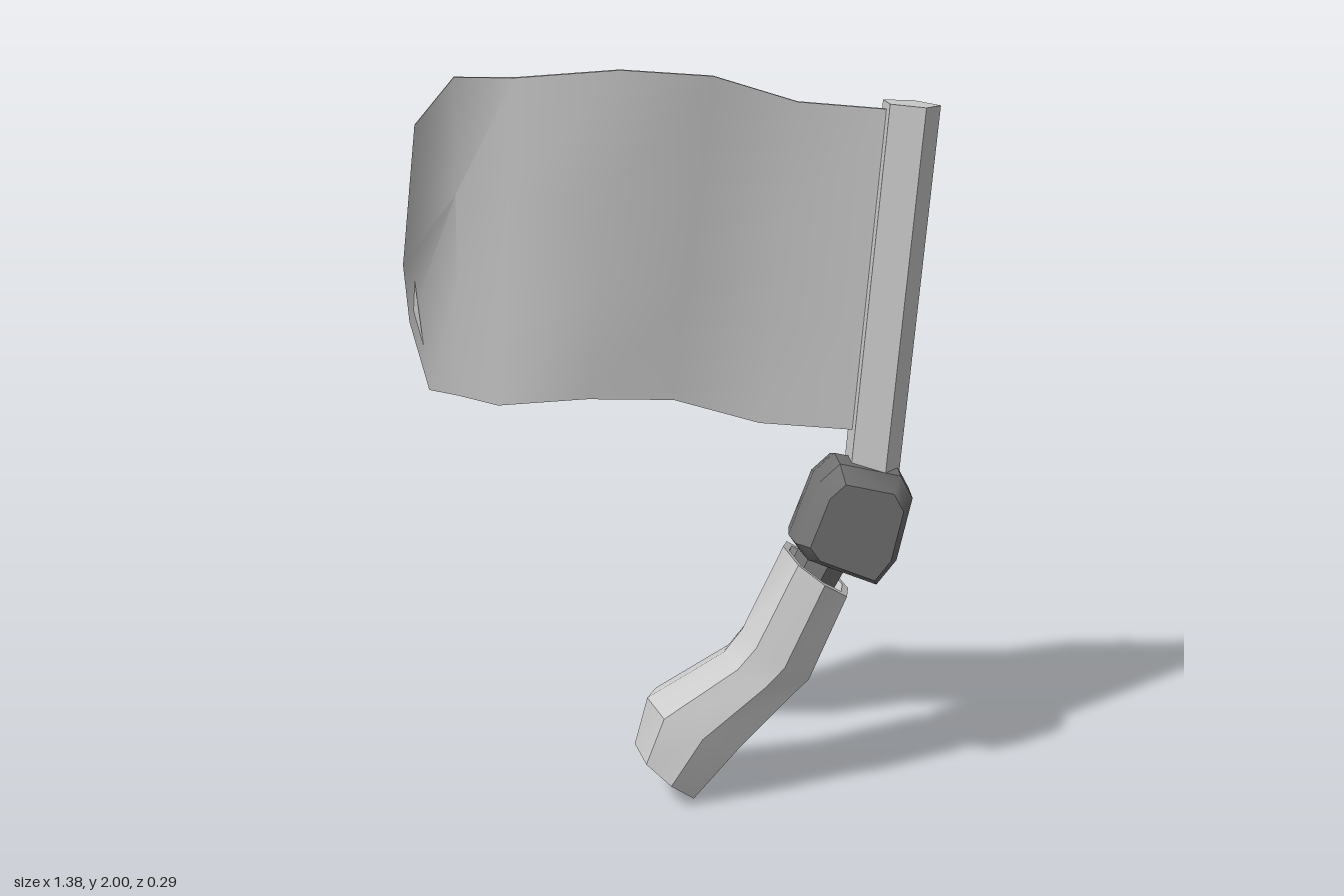
import * as THREE from 'three';
import { toCreasedNormals } from 'three/addons/utils/BufferGeometryUtils.js';

const light = new THREE.MeshStandardMaterial({ color: 0xcccccc });
const dark = new THREE.MeshStandardMaterial({ color: 0x727272 });
const lerp = THREE.MathUtils.lerp;

// Closed solid through rings of equal point count, capped at both ends
function loft(rings, crease) {
  const n = rings[0].length, pts = rings.flat(), idx = [];
  for (let r = 0; r < rings.length - 1; r++) {
    for (let i = 0; i < n; i++) {
      const a = r * n + i, b = r * n + (i + 1) % n;
      idx.push(a, b, b + n, a, b + n, a + n);
    }
  }
  [0, rings.length - 1].forEach((r, end) => {
    const c = pts.length;
    pts.push([0, 1, 2].map(k => rings[r].reduce((s, p) => s + p[k], 0) / n));
    for (let i = 0; i < n; i++) {
      const a = r * n + i, b = r * n + (i + 1) % n;
      end ? idx.push(c, a, b) : idx.push(c, b, a);
    }
  });
  // Turn the faces outward when the rings run the other way
  const v = pts.map(p => new THREE.Vector3(...p));
  let volume = 0;
  for (let i = 0; i < idx.length; i += 3) {
    volume += v[idx[i]].dot(v[idx[i + 1]].clone().cross(v[idx[i + 2]]));
  }
  if (volume < 0) idx.reverse();
  const g = new THREE.BufferGeometry();
  g.setAttribute('position', new THREE.Float32BufferAttribute(pts.flat(), 3));
  g.setIndex(idx);
  return toCreasedNormals(g, crease);
}

function part(name, geometry, material) {
  const m = new THREE.Mesh(geometry, material);
  m.name = name;
  return m;
}

// Eight-sided arm section between a left and a right edge point
function armRing([lx, ly, rx, ry, front, back], inset = 1, dx = 0, dy = 0) {
  const prof = [[0, 0], [0.13, 0.76], [0.5, 1], [0.87, 0.76], [1, 0], [0.87, -0.76], [0.5, -1], [0.13, -0.76]];
  return prof.map(([t, d]) => {
    const s = 0.5 + (t - 0.5) * inset;
    const z = d * inset * (d > 0 ? front : back);
    return [lerp(lx, rx, s) + dx, lerp(ly, ry, s) + dy, z];
  });
}

export function createModel() {
  const group = new THREE.Group();

  // Five-sided leaning pole
  const poleRing = (cx, y) => Array.from({ length: 5 }, (_, i) => {
    const a = i * Math.PI * 2 / 5, x = 0.078 * Math.cos(a);
    return [cx + x, y - 0.08 * x, 0.027 + 0.078 * Math.sin(a)];
  });
  group.add(part('pole', loft([poleRing(0.518, 0.8), poleRing(0.607, 1.9)], 0.4), light));

  // Waving cloth: columns of [top x, top y, bottom x, bottom y, z]
  const columns = [
    [0.57, 1.885, 0.5, 1.04, 0.03], [0.32, 1.905, 0.23, 1.06, 0.0],
    [0.10, 1.975, 0.0, 1.135, 0.02], [-0.14, 2.0, -0.23, 1.16, 0.08],
    [-0.40, 1.98, -0.46, 1.14, 0.045], [-0.55, 1.98, -0.56, 1.162, 0.018],
  ].map(([tx, ty, bx, by, z]) => [0, 0.36, 0.66, 1].map(t => [lerp(tx, bx, t), lerp(ty, by, t), z]));
  columns.push([[-0.65, 1.87, 0.075], [-0.69, 1.52, 0.075], [-0.68, 1.36, 0.015], [-0.635, 1.18, 0.02]]);
  const clothRings = columns.map(col => [
    ...col.map(([x, y, z]) => [x, y, z + 0.008]),
    ...col.map(([x, y, z]) => [x, y, z - 0.008]).reverse(),
  ]);
  group.add(part('flagCloth', loft(clothRings, 0.9), light));

  // Clenched fist: one outline shrunk toward its front and back
  const outline = [[0.43, 0.975], [0.60, 0.935], [0.635, 0.87], [0.595, 0.69],
    [0.54, 0.62], [0.345, 0.70], [0.31, 0.75], [0.375, 0.925]];
  const fistRings = [[-0.11, 0.68, -0.03], [-0.06, 0.92, -0.01], [0.02, 1, 0], [0.1, 0.96, 0], [0.142, 0.76, -0.01]]
    .map(([z, s, dy]) => outline.map(([x, y]) => [0.475 + (x - 0.475) * s, 0.8 + (y - 0.8) * s + dy, z]));
  group.add(part('fist', loft(fistRings, 0.6), dark));

  // Bent sleeve with a recessed cuff: left x, y, right x, y, front and back depth
  const stations = [
    [-0.105, 0.15, 0.07, 0.005, 0.13, 0.13], [-0.07, 0.285, 0.2, 0.15, 0.145, 0.145],
    [0.14, 0.41, 0.34, 0.30, 0.125, 0.12], [0.19, 0.475, 0.385, 0.345, 0.132, 0.122],
    [0.30, 0.71, 0.48, 0.583, 0.145, 0.115],
  ];
  const cuff = stations[4];
  const sleeveRings = stations.map(s => armRing(s));
  sleeveRings.push(armRing(cuff, 0.82), armRing(cuff, 0.8, -0.02, -0.04));
  group.add(part('sleeve', loft(sleeveRings, 0.6), light));

  // Wrist joining cuff and fist
  group.add(part('wrist', loft([armRing(cuff, 0.62, -0.025, -0.05), armRing(cuff, 0.66, 0.05, 0.1)], 0.6), dark));

  return group;
}
